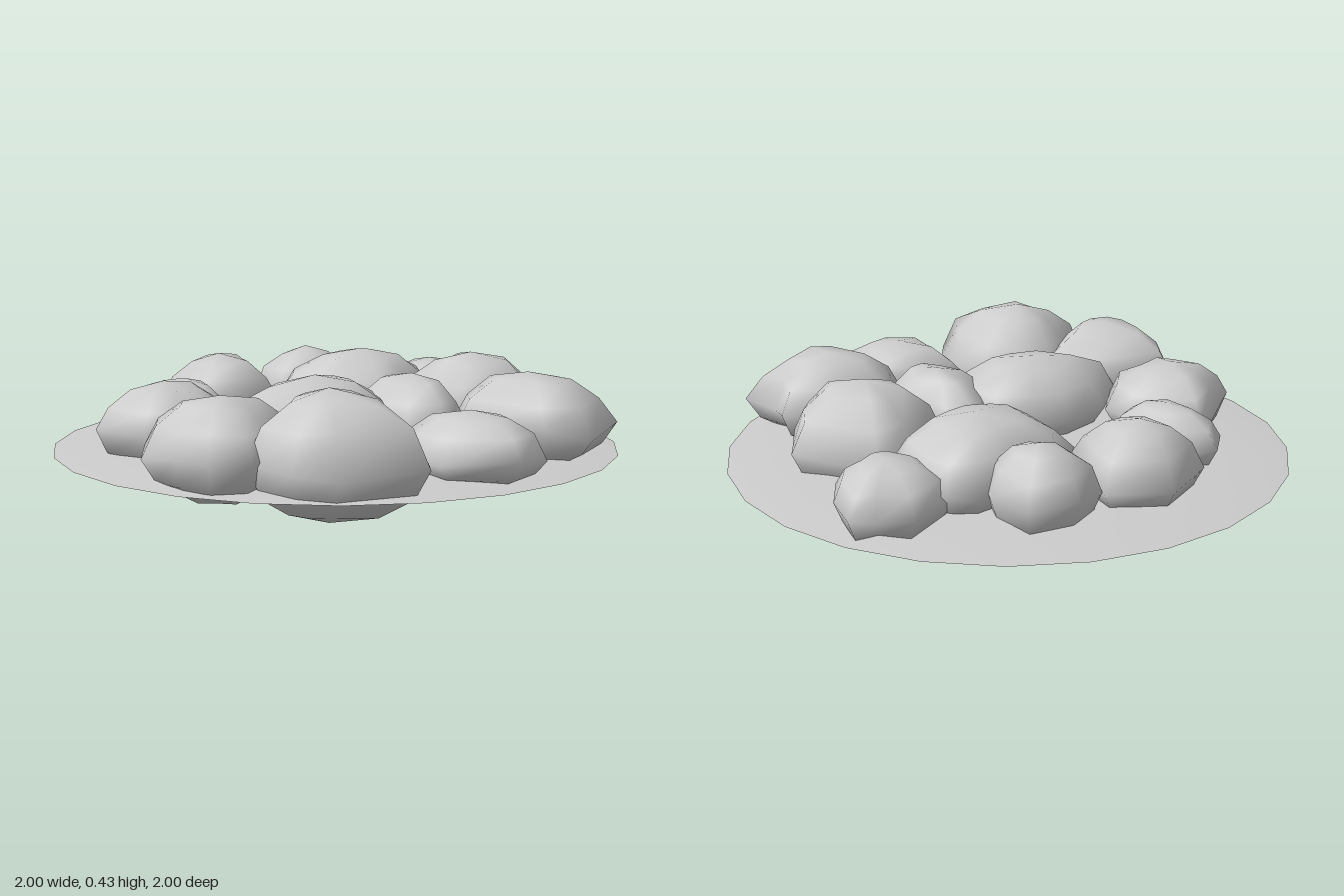
import * as THREE from 'three';

const stone = new THREE.MeshStandardMaterial({ color: 0xcccccc, side: THREE.DoubleSide });
stone.name = 'grey stone';

// ring width and height of a boulder, from its underside to its crown
const RINGS = [[0.5, 0.09], [0.83, 0.23], [1, 0.47], [0.81, 0.74], [0.48, 0.92]];

// Small repeatable noise for uneven stone faces
function noise(seed) {
  const s = Math.sin(seed * 12.9898) * 43758.5453;
  return s - Math.floor(s) - 0.5;
}

// Angular boulder with its crown at (x, z), height y0 to y1; outline holds x, z pairs of its widest ring
function boulder(x, z, y0, y1, outline) {
  const sides = outline.length / 2;
  const last = RINGS.length - 1;
  const pos = [x, y0, z];
  const index = [];
  RINGS.forEach(([s, t], i) => {
    for (let j = 0; j < sides; j++) {
      const n = noise(x * 31 + z * 17 + i + j * 7);
      const k = i === 2 ? 1 : s * (1 + 0.06 * n);
      const lift = t + (i === 2 ? 0.12 : 0.05) * n;
      pos.push(x + (outline[2 * j] - x) * k, y0 + (y1 - y0) * lift, z + (outline[2 * j + 1] - z) * k);
    }
  });
  pos.push(x, y1, z);
  const top = pos.length / 3 - 1;
  const at = (i, j) => 1 + i * sides + (j % sides);
  for (let j = 0; j < sides; j++) {
    index.push(0, at(0, j), at(0, j + 1));
    for (let i = 0; i < last; i++) {
      index.push(at(i, j), at(i + 1, j), at(i, j + 1));
      index.push(at(i, j + 1), at(i + 1, j), at(i + 1, j + 1));
    }
    index.push(at(last, j), top, at(last, j + 1));
  }
  const g = new THREE.BufferGeometry();
  g.setAttribute('position', new THREE.Float32BufferAttribute(pos, 3));
  g.setIndex(index);
  g.computeVertexNormals();
  return g;
}

export function createModel() {
  const model = new THREE.Group();
  model.name = 'stonePile';
  const add = (name, geometry) => {
    const mesh = new THREE.Mesh(geometry, stone);
    mesh.name = name;
    model.add(mesh);
  };

  // Thin, slightly raised ground disc
  const profile = [[1, 0.113], [0.7, 0.146], [0, 0.155]].map(([r, y]) => new THREE.Vector2(r, y));
  add('groundDisc', new THREE.LatheGeometry(profile, 24));

  // Back stones
  add('backLargeStone', boulder(0, -0.43, 0.06, 0.4, [0, -0.75, 0.1, -0.72, 0.22, -0.58, 0.27, -0.5,
    0.22, -0.32, 0.15, -0.13, -0.02, -0.1, -0.14, -0.1, -0.3, -0.25, -0.31, -0.38, -0.2, -0.57, -0.1, -0.72]));
  add('backLeftStone', boulder(0.44, -0.27, 0.02, 0.42, [0.3, -0.54, 0.62, -0.51, 0.67, -0.38, 0.72, -0.24,
    0.63, -0.16, 0.45, -0.05, 0.3, -0.12, 0.18, -0.2, 0.22, -0.4]));
  add('rearStone', boulder(0.2, -0.74, 0.06, 0.33, [0.25, -0.96, 0.35, -0.82, 0.4, -0.67, 0.36, -0.56,
    0.28, -0.53, 0.1, -0.55, -0.01, -0.7, 0.05, -0.9, 0.18, -0.9]));
  add('backRightStone', boulder(-0.27, -0.6, 0.05, 0.38, [-0.28, -0.79, -0.13, -0.7, -0.08, -0.6,
    -0.15, -0.45, -0.33, -0.41, -0.46, -0.54, -0.42, -0.68]));

  // Side stones
  add('rightUpperStone', boulder(-0.53, -0.3, 0.06, 0.38, [-0.47, -0.55, -0.38, -0.45, -0.29, -0.28,
    -0.38, -0.12, -0.52, -0.06, -0.74, -0.23, -0.68, -0.46]));
  add('rightSmallStone', boulder(-0.56, 0.02, 0.07, 0.33, [-0.62, -0.13, -0.47, -0.1, -0.36, 0.05,
    -0.4, 0.14, -0.55, 0.19, -0.75, 0.07, -0.76, -0.07]));
  add('rightLowerStone', boulder(-0.52, 0.35, 0.06, 0.37, [-0.67, 0.14, -0.4, 0.12, -0.3, 0.25,
    -0.28, 0.42, -0.38, 0.54, -0.5, 0.6, -0.71, 0.5, -0.7, 0.32]));
  add('leftStone', boulder(0.69, 0.04, 0.07, 0.4, [0.77, -0.23, 0.85, -0.1, 0.99, -0.05, 0.93, 0.26,
    0.78, 0.29, 0.47, 0.2, 0.42, 0, 0.58, -0.14]));
  add('leftLowerStone', boulder(0.56, 0.45, 0.07, 0.33, [0.44, 0.3, 0.6, 0.25, 0.73, 0.3, 0.81, 0.47,
    0.75, 0.63, 0.5, 0.66, 0.36, 0.55, 0.3, 0.47]));

  // Middle stones
  add('middleStone', boulder(-0.02, 0.22, 0.06, 0.39, [0.05, -0.08, 0.18, 0, 0.27, 0.22, 0.18, 0.4,
    0, 0.5, -0.28, 0.5, -0.3, 0.24, -0.22, 0.06, -0.1, -0.02]));
  add('middleLeftStone', boulder(0.28, 0.03, 0.06, 0.38, [0.17, -0.17, 0.26, -0.12, 0.41, -0.1, 0.49, 0.1,
    0.45, 0.24, 0.32, 0.28, 0.12, 0.2, 0.04, -0.05, 0.07, -0.14]));

  // Front stones
  add('frontLeftStone', boulder(0.16, 0.73, 0, 0.43, [0.23, 0.42, 0.42, 0.62, 0.47, 0.7, 0.5, 0.82,
    0.25, 0.98, 0.1, 0.97, -0.06, 0.9, -0.07, 0.7, -0.05, 0.54, 0.05, 0.45]));
  add('frontRightStone', boulder(-0.2, 0.72, 0.04, 0.39, [-0.2, 0.45, 0, 0.52, 0.02, 0.82, -0.02, 0.95,
    -0.15, 0.99, -0.28, 0.95, -0.43, 0.82, -0.48, 0.65]));

  return model;
}
